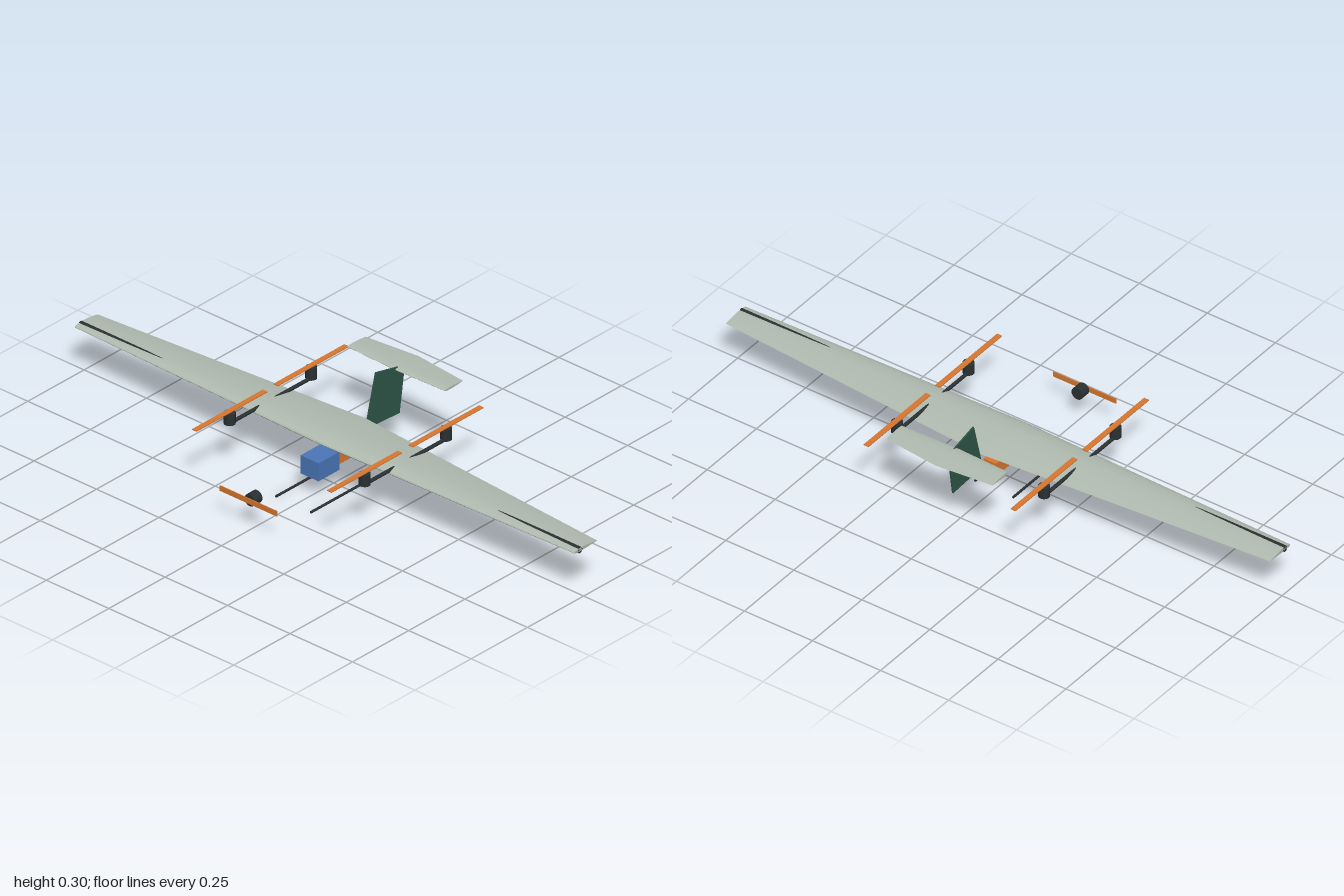
import * as THREE from 'three';

const mat = (color, extra = {}) => new THREE.MeshStandardMaterial({ color, ...extra });
const skin = mat(0xb0bbb0, { flatShading: true });
const carbon = mat(0x2a3032);
const orange = mat(0xd87830);
const blue = mat(0x4a76b8);
const green = mat(0x2f5548);

// Closed airfoil outline, nose at x = 0, running tail -> top -> nose -> bottom
function airfoil(camber, thick, n = 14) {
  const surface = (x, side) => {
    const t = 5 * thick * (0.2969 * Math.sqrt(x) - 0.126 * x - 0.3516 * x ** 2 + 0.2843 * x ** 3 - 0.1036 * x ** 4);
    const p = 0.4;
    const c = x < p ? camber / p ** 2 * (2 * p * x - x * x) : camber / (1 - p) ** 2 * (1 - 2 * p + 2 * p * x - x * x);
    return [x, c + side * t];
  };
  const at = i => (1 - Math.cos(Math.PI * i / n)) / 2;
  const pts = [];
  for (let i = n; i >= 0; i--) pts.push(surface(at(i), 1));
  for (let i = 1; i < n; i++) pts.push(surface(at(i), -1));
  return pts;
}

// Tapered wing lofted along z; sections share their quarter-chord line
function wingGeometry(profile, rootChord, tipChord, halfSpan) {
  const sections = [[-halfSpan, tipChord], [0, rootChord], [halfSpan, tipChord]];
  const n = profile.length;
  const pos = [], idx = [];
  for (const [z, c] of sections) for (const [x, y] of profile) pos.push((x - 0.25) * c, y * c, z);
  for (let s = 0; s < 2; s++) {
    for (let i = 0; i < n; i++) {
      const a = s * n + i, b = s * n + (i + 1) % n;
      idx.push(a, b, b + n, a, b + n, a + n);
    }
  }
  // tip caps
  for (let i = 1; i < n - 1; i++) {
    idx.push(0, i + 1, i);
    idx.push(2 * n, 2 * n + i, 2 * n + i + 1);
  }
  const g = new THREE.BufferGeometry();
  g.setAttribute('position', new THREE.Float32BufferAttribute(pos, 3));
  g.setIndex(idx);
  g.computeVertexNormals();
  return g;
}

export function createModel() {
  const model = new THREE.Group();
  model.name = 'tiltlessDrone';

  const add = (name, geometry, material, x, y, z) => {
    const m = new THREE.Mesh(geometry, material);
    m.name = name;
    m.position.set(x, y, z);
    model.add(m);
    return m;
  };
  const box = (name, material, w, h, d, x, y, z) => add(name, new THREE.BoxGeometry(w, h, d), material, x, y, z);
  const rod = (name, axis, r, len, x, y, z, sides = 24) => {
    const g = new THREE.CylinderGeometry(r, r, len, sides);
    if (axis === 'x') g.rotateZ(Math.PI / 2);
    if (axis === 'z') g.rotateX(Math.PI / 2);
    return add(name, g, carbon, x, y, z);
  };

  // Main wing with its spar tube
  add('wing', wingGeometry(airfoil(0.02, 0.12), 0.204, 0.102, 1), skin, -0.016, 0.165, 0);
  rod('wingSpar', 'z', 0.0103, 2, -0.016, 0.165, 0);

  // Tailplane and fin
  add('tailplane', wingGeometry(airfoil(0, 0.1), 0.108, 0.081, 0.195), skin, 0.297, 0.273, 0);
  const finShape = new THREE.Shape([
    new THREE.Vector2(0.14, 0.125), new THREE.Vector2(0.29, 0.117),
    new THREE.Vector2(0.313, 0.271), new THREE.Vector2(0.185, 0.3),
  ]);
  add('fin', new THREE.ExtrudeGeometry(finShape, { depth: 0.005, bevelEnabled: false }), green, 0, 0, -0.0025);

  // Lift booms, each with two motors and propellers, and landing skids
  for (const side of [-1, 1]) {
    const z = side * 0.27;
    rod('boom', 'x', 0.006, 0.361, 0.018, 0.171, z);
    for (const x of [-0.163, 0.199]) {
      rod('liftMotor', 'y', 0.018, 0.038, x, 0.19, z);
      box('liftPropeller', orange, 0.314, 0.003, 0.018, x, 0.214, z);
    }
    rod('skid', 'x', 0.004, 0.26, -0.05, 0.004, side * 0.07, 16);
  }

  // Nose motor and propeller
  rod('noseMotor', 'x', 0.0205, 0.034, -0.357, 0.102, 0);
  box('nosePropeller', orange, 0.003, 0.018, 0.23, -0.379, 0.102, 0);

  // Internal bays
  box('batteryBay', blue, 0.092, 0.062, 0.072, -0.062, 0.097, 0);
  box('payloadBay', orange, 0.115, 0.047, 0.046, 0.045, 0.0975, 0);

  return model;
}
